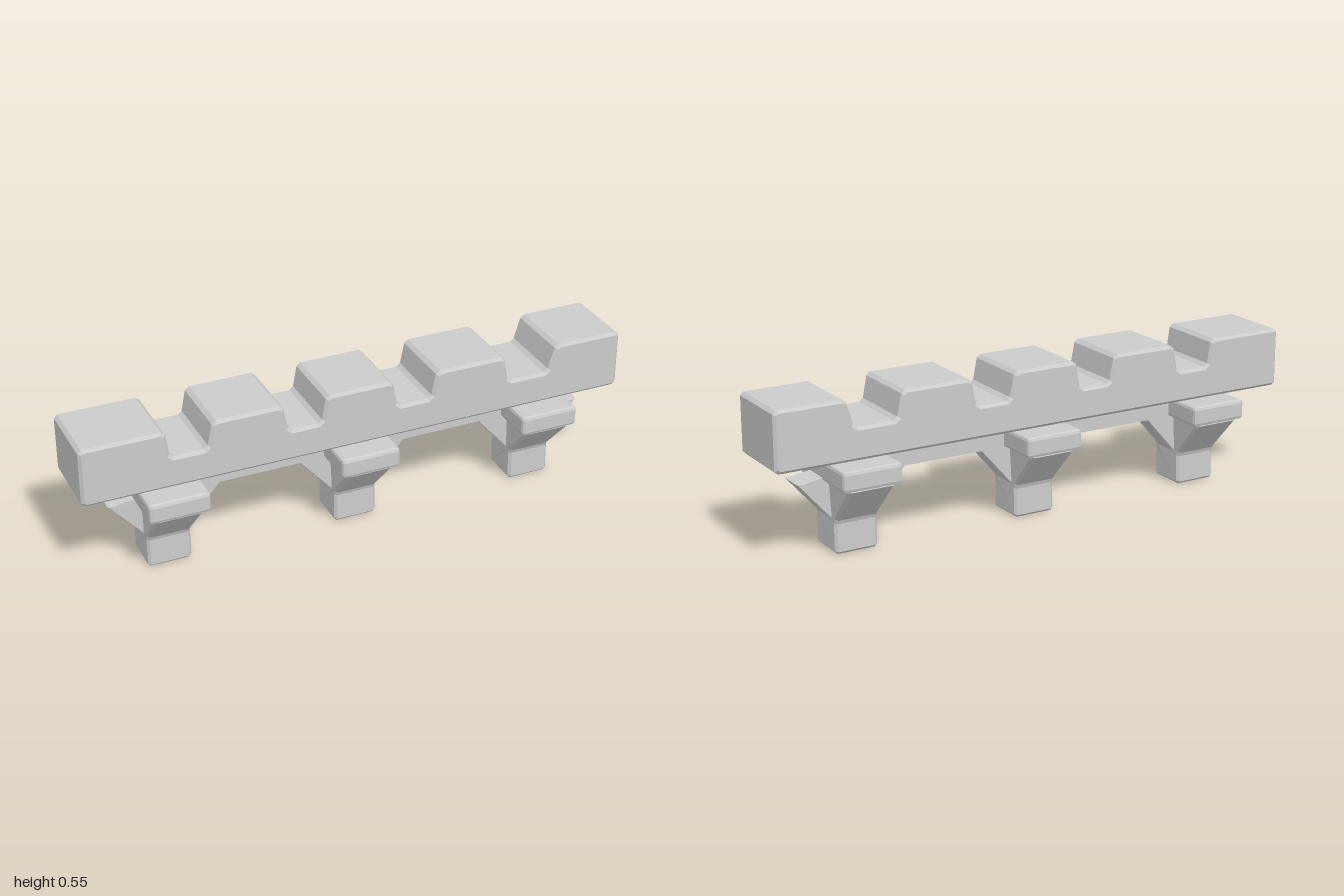
import * as THREE from 'three';
import { RoundedBoxGeometry } from 'three/addons/geometries/RoundedBoxGeometry.js';

const material = new THREE.MeshStandardMaterial({ color: 0xcccccc, flatShading: true });

// Cuts every corner of a closed outline by a small distance
function chamfer(points, cut) {
  const pts = points.map(([x, y]) => new THREE.Vector2(x, y));
  const out = [];
  pts.forEach((p, i) => {
    for (const q of [pts.at(i - 1), pts[(i + 1) % pts.length]]) {
      out.push(p.clone().add(q.clone().sub(p).setLength(cut)));
    }
  });
  return out;
}

// Outline extruded symmetrically about z = 0, with chamfered rims
function slab(points, width, bevel, cut) {
  const outline = cut ? chamfer(points, cut) : points.map(([x, y]) => new THREE.Vector2(x, y));
  const geometry = new THREE.ExtrudeGeometry(new THREE.Shape(outline), {
    depth: width - 2 * bevel,
    bevelEnabled: true,
    bevelSegments: 1,
    bevelSize: bevel,
    bevelThickness: bevel,
    bevelOffset: -bevel,
  });
  return geometry.translate(0, 0, bevel - width / 2);
}

function part(name, geometry) {
  const mesh = new THREE.Mesh(geometry, material);
  mesh.name = name;
  return mesh;
}

// Bracket: square foot flaring to front and back under a cap block
function createBracket() {
  const bracket = new THREE.Group();
  bracket.name = 'bracket';

  const half = [[0.073, 0.003], [0.071, 0.117], [0.203, 0.262]];
  const outline = [...half, ...half.map(([z, y]) => [-z, y]).reverse()].reverse();
  const body = slab(outline, 0.156, 0.009, 0.008).rotateY(Math.PI / 2);
  // Flare widens slightly towards the cap
  const pos = body.attributes.position;
  for (let i = 0; i < pos.count; i++) {
    const t = Math.max(0, (pos.getY(i) - 0.12) / 0.14);
    pos.setX(i, pos.getX(i) * (1 + 0.09 * t));
  }
  body.translate(0, -0.003, 0);
  body.computeVertexNormals();
  bracket.add(part('bracketBody', body));

  const cap = part('bracketCap', new RoundedBoxGeometry(0.216, 0.073, 0.418, 1, 0.012));
  cap.position.y = 0.293;
  bracket.add(cap);
  return bracket;
}

export function createModel() {
  const group = new THREE.Group();
  group.name = 'battlement';

  // Notched parapet beam; each notch is [top, floor, floor, top] in x
  const notches = [
    [-0.705, -0.69, -0.56, -0.54],
    [-0.29, -0.27, -0.15, -0.132],
    [0.112, 0.132, 0.26, 0.28],
    [0.54, 0.56, 0.715, 0.745],
  ];
  const crest = notches.flatMap(([a, b, c, d]) => [[a, 0.548], [b, 0.448], [c, 0.448], [d, 0.548]]);
  const beam = [[-1, 0.335], [-1, 0.548], ...crest, [1, 0.548], [1, 0.335]].reverse();
  group.add(part('parapetBeam', slab(beam, 0.27, 0.01, 0.012)));

  // Supporting rail with sloping shoulders, and braces down to each foot
  const spacing = 0.69;
  const rail = [[-0.867, 0.257], [0.867, 0.257], [0.4, 0.337], [-0.4, 0.337]];
  group.add(part('supportRail', slab(rail, 0.096, 0.003, 0)));

  for (const x of [-spacing, 0, spacing]) {
    const bracket = createBracket();
    bracket.position.x = x;
    const brace = [[-0.072, 0.112], [0.072, 0.112], [0.2, 0.259], [-0.2, 0.259]];
    bracket.add(part('sideBraces', slab(brace, 0.096, 0.003, 0)));
    group.add(bracket);
  }
  return group;
}
